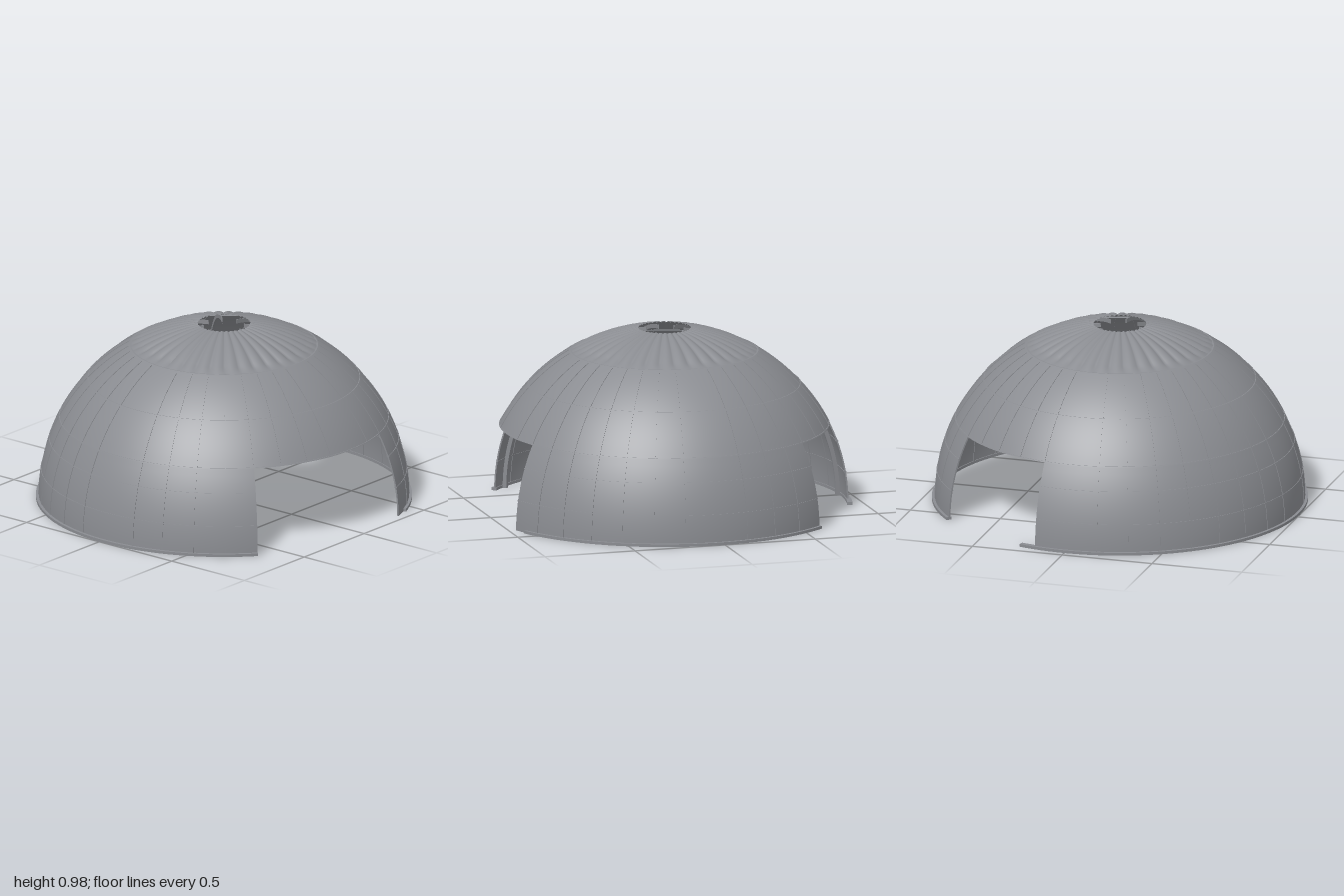
import * as THREE from 'three';
import { mergeGeometries } from 'three/addons/utils/BufferGeometryUtils.js';

const RAD = Math.PI / 180;
const R = 0.985; // outer radius of the dome
const IN = R - 0.008; // inner radius of the dome
const OPEN = 0.45; // height of the side openings
const CAP = 0.85; // height where the fluted cap starts

// Points on a sphere of radius r between two heights
function arc(r, y0, y1, n) {
  const a0 = Math.asin(y0 / r), a1 = Math.asin(y1 / r);
  return Array.from({ length: n + 1 }, (_, i) => {
    const a = a0 + ((a1 - a0) * i) / n;
    return new THREE.Vector2(r * Math.cos(a), r * Math.sin(a));
  });
}

// Solid of revolution from angle a to b (degrees, from +x towards +z).
// Each side of the profile is swept on its own so its edges stay sharp.
function sweep(outer, inner, a, b) {
  const back = [...inner].reverse();
  const sides = [outer, [outer.at(-1), back[0]], back, [back.at(-1), outer[0]]];
  const segs = Math.max(1, Math.round((b - a) / 2.5));
  const parts = sides.map((p) => new THREE.LatheGeometry(p, segs, (90 - b) * RAD, (b - a) * RAD));
  if (b - a < 360) {
    for (const end of [a, b]) {
      parts.push(new THREE.ShapeGeometry(new THREE.Shape([...outer, ...back])).rotateY(-end * RAD));
    }
  }
  return mergeGeometries(parts);
}

const shell = (r0, r1, y0, y1, a, b, n = 12) => sweep(arc(r1, y0, y1, n), arc(r0, y0, y1, n), a, b);

function hoop(r0, r1, y0, y1, a, b) {
  const v = (x, y) => new THREE.Vector2(x, y);
  return sweep([v(r1, y0), v(r1, y1)], [v(r0, y0), v(r0, y1)], a, b);
}

// Cap of 36 pillowed flutes around an open eye, fading out at the rim
function flutedCap() {
  const perFlute = 8, around = 36 * perFlute, rows = 20;
  const pos = [], index = [];
  const a0 = Math.asin(CAP / R), a1 = Math.acos(0.14 / R);
  for (let j = 0; j <= rows; j++) {
    const a = a0 + ((a1 - a0) * j) / rows;
    const depth = (0.022 * Math.cos(a) + 0.002) * Math.min(1, j / 3);
    for (let i = 0; i <= around; i++) {
      const t = (i / around) * Math.PI * 2;
      const r = R - depth * (1 - Math.sin((Math.PI * (i % perFlute)) / perFlute));
      pos.push(r * Math.cos(a) * Math.sin(t), r * Math.sin(a), r * Math.cos(a) * Math.cos(t));
      if (j < rows && i < around) {
        const p = j * (around + 1) + i, q = p + around + 1;
        index.push(p, p + 1, q, p + 1, q + 1, q);
      }
    }
  }
  const g = new THREE.BufferGeometry();
  g.setAttribute('position', new THREE.Float32BufferAttribute(pos, 3));
  g.setIndex(index);
  g.computeVertexNormals();
  return g;
}

// Tapered rib following the inside of the dome, in the plane of +x
function ribGeometry(y0, y1, w0, w1) {
  const g = new THREE.BoxGeometry(1, 1, 1, 1, 20, 1).toNonIndexed();
  const p = g.attributes.position;
  const a0 = Math.asin(y0 / 0.974), a1 = Math.asin(y1 / 0.974);
  for (let i = 0; i < p.count; i++) {
    const t = p.getY(i) + 0.5;
    const a = a0 + (a1 - a0) * t;
    const r = 0.96 + p.getX(i) * 0.022;
    p.setXYZ(i, r * Math.cos(a), r * Math.sin(a), p.getZ(i) * (w0 + (w1 - w0) * t));
  }
  g.computeVertexNormals();
  return g;
}

export function createModel() {
  const model = new THREE.Group();
  const dome = new THREE.Group();
  dome.name = 'dome';
  dome.position.x = 0.035;
  model.add(dome);

  const metal = new THREE.MeshStandardMaterial({
    name: 'metal grey', color: 0x8a8c91, side: THREE.DoubleSide,
  });
  const add = (name, geometry) => {
    const mesh = new THREE.Mesh(geometry, metal);
    mesh.name = name;
    dome.add(mesh);
    return mesh;
  };

  // Raised seams between panels, standing proud on both faces
  const seams = [];
  const seamIn = IN - 0.003, seamOut = R + 0.003;
  const parallel = (y, a, b) =>
    seams.push(shell(seamIn, seamOut, y - 0.0025, y + 0.0025, a, b, 1));
  const meridians = (a, b, y0, y1) => {
    for (let d = a; d < b; d += 10) {
      if (d % 90) seams.push(shell(seamIn, seamOut, y0, y1, d - 0.15, d + 0.15));
    }
  };

  // Lower walls, leaving a wide and a narrow opening between them
  const walls = [
    { name: 'front', a: 40, b: 190, ringA: 40, ringB: 195 },
    { name: 'back', a: 230, b: 340, ringA: 230, ringB: 335 },
  ];
  for (const w of walls) {
    add(w.name + 'Wall', shell(IN, R, 0, OPEN, w.a, w.b));
    add(w.name + 'BaseRing', hoop(0.972, 1, 0, 0.015, w.ringA, w.ringB));
    meridians(w.a + 10, w.b, 0.015, OPEN);
    for (const y of [0.16, 0.33]) parallel(y, w.a, w.b);
  }

  // Upper dome and cap
  add('upperDome', shell(IN, R, OPEN, CAP, 0, 360, 16));
  add('flutedCap', flutedCap());
  meridians(0, 360, OPEN, CAP);
  for (const y of [OPEN + 0.003, 0.67, CAP]) parallel(y, 0, 360);
  add('panelSeams', mergeGeometries(seams));

  // Inner frame: a hoop above the openings and eight ribs
  add('innerHoop', hoop(0.85, 0.868, OPEN, OPEN + 0.015, 0, 360));
  const upperRib = ribGeometry(OPEN, 0.968, 0.016, 0.004);
  const lowerRib = ribGeometry(0, OPEN, 0.018, 0.016);
  for (let d = 0; d < 360; d += 45) {
    add('upperRib', upperRib).rotation.y = -d * RAD;
    if (walls.some((w) => d > w.a && d < w.b)) add('lowerRib', lowerRib).rotation.y = -d * RAD;
  }
  return model;
}
